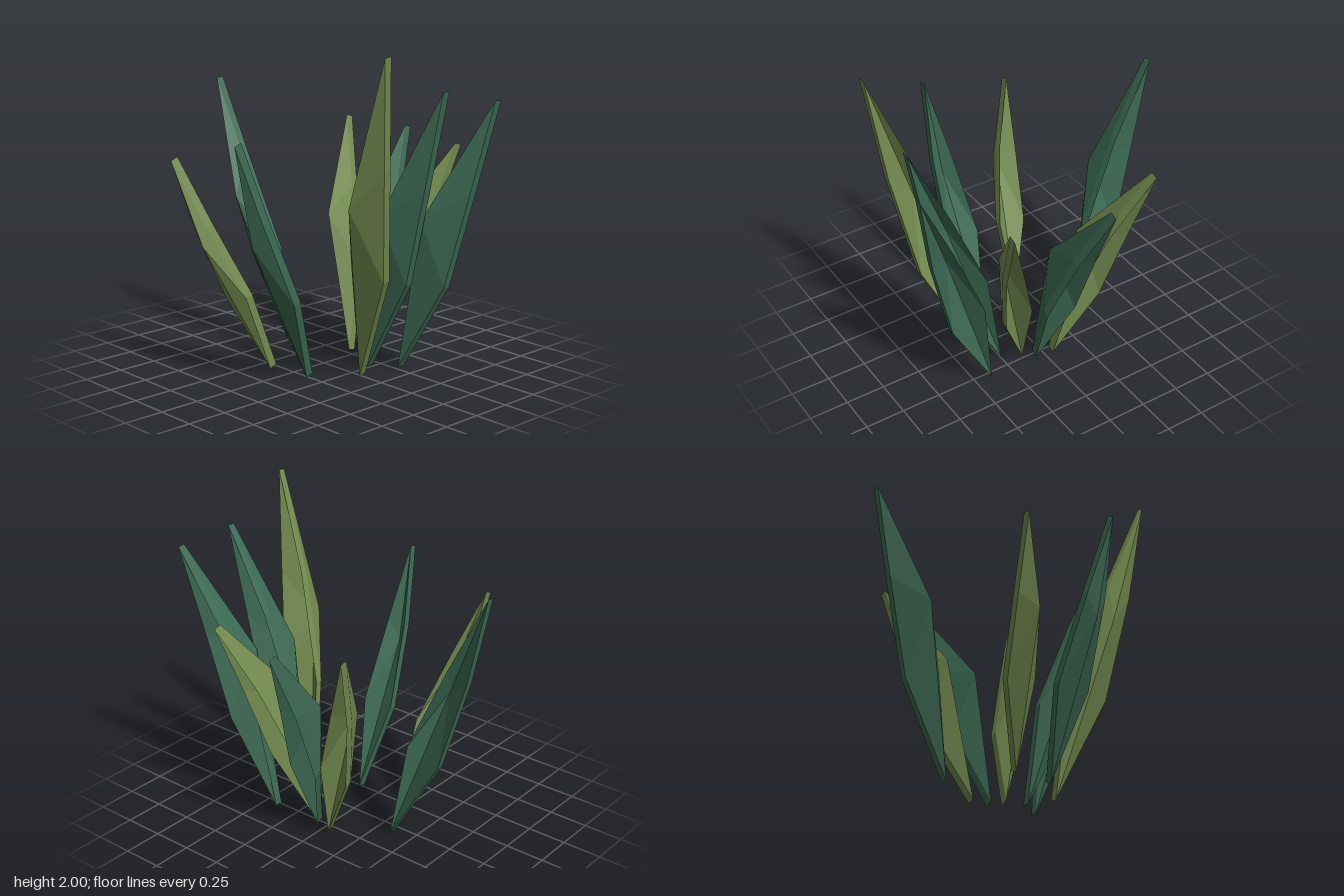
import * as THREE from 'three';

const DARK = 0x3d6b54, OLIVE = 0x748c50;
const THICK = 0.048;

// One blade: a thin folded shell with a six-point rim and a raised middle point.
function bladeGeometry(base, tip) {
  const a = new THREE.Vector3(...base), b = new THREE.Vector3(...tip);
  const chord = b.clone().sub(a);
  const length = chord.length();
  const side = new THREE.Vector3(chord.y, -chord.x, 0).normalize();
  const half = new THREE.Vector3(0, -chord.z / chord.y, 1).multiplyScalar(THICK / 2);

  // Rim, anticlockwise from the front: position along, half width, forward lift
  const rim = [[0, 0, 0], [0.35, 0.066, 0.005], [0.685, 0.041, 0.02],
    [1, 0, 0], [0.685, -0.041, 0.02], [0.35, -0.066, 0.005]].map(([t, w, lift]) => {
    const p = a.clone().addScaledVector(chord, t).addScaledVector(side, w * length);
    p.z += lift;
    return p;
  });
  const apex = a.clone().addScaledVector(chord, 0.455).add(new THREE.Vector3(0, 0.21, 0.175));

  const front = p => p.clone().add(half), back = p => p.clone().sub(half);
  const tris = [];
  rim.forEach((p, i) => {
    const q = rim[(i + 1) % rim.length];
    tris.push(front(apex), front(p), front(q));   // front fan
    tris.push(back(apex), back(q), back(p));      // hollow back
    tris.push(front(p), back(p), back(q), front(p), back(q), front(q)); // edge strip
  });
  const g = new THREE.BufferGeometry().setFromPoints(tris);
  g.computeVertexNormals();
  return g;
}

export function createModel() {
  const group = new THREE.Group();
  group.name = 'grassClump';
  const material = color => new THREE.MeshStandardMaterial({ color, flatShading: true });
  const dark = material(DARK), olive = material(OLIVE);

  // Base point, tip point and colour of every blade
  const blades = [
    ['leftTallBlade', [0.34, 0.012, 0.0], [0.84, 2.0, 0.315], olive],
    ['leftMiddleBlade', [0.25, 0.012, -0.155], [0.84, 1.77, -0.155], dark],
    ['leftRearBlade', [0.395, 0.012, -0.275], [0.95, 1.7, -0.475], dark],
    ['backLeftBlade', [0.13, 0.012, -0.21], [0.48, 1.365, -0.67], olive],
    ['backBlade', [0.06, 0.012, -0.265], [-0.09, 1.39, -0.825], dark],
    ['backRightBlade', [-0.05, 0.012, -0.29], [-0.48, 1.43, -0.68], olive],
    ['rightBlade', [-0.37, 0.012, -0.08], [-0.95, 1.7, 0.025], dark],
    ['frontRightBlade', [-0.145, 0.012, 0.29], [-0.415, 1.34, 0.81], olive],
    ['frontBlade', [0.13, 0.012, 0.24], [0.18, 1.5, 0.82], dark],
  ];
  for (const [name, base, tip, mat] of blades) {
    const mesh = new THREE.Mesh(bladeGeometry(base, tip), mat);
    mesh.name = name;
    group.add(mesh);
  }
  return group;
}
